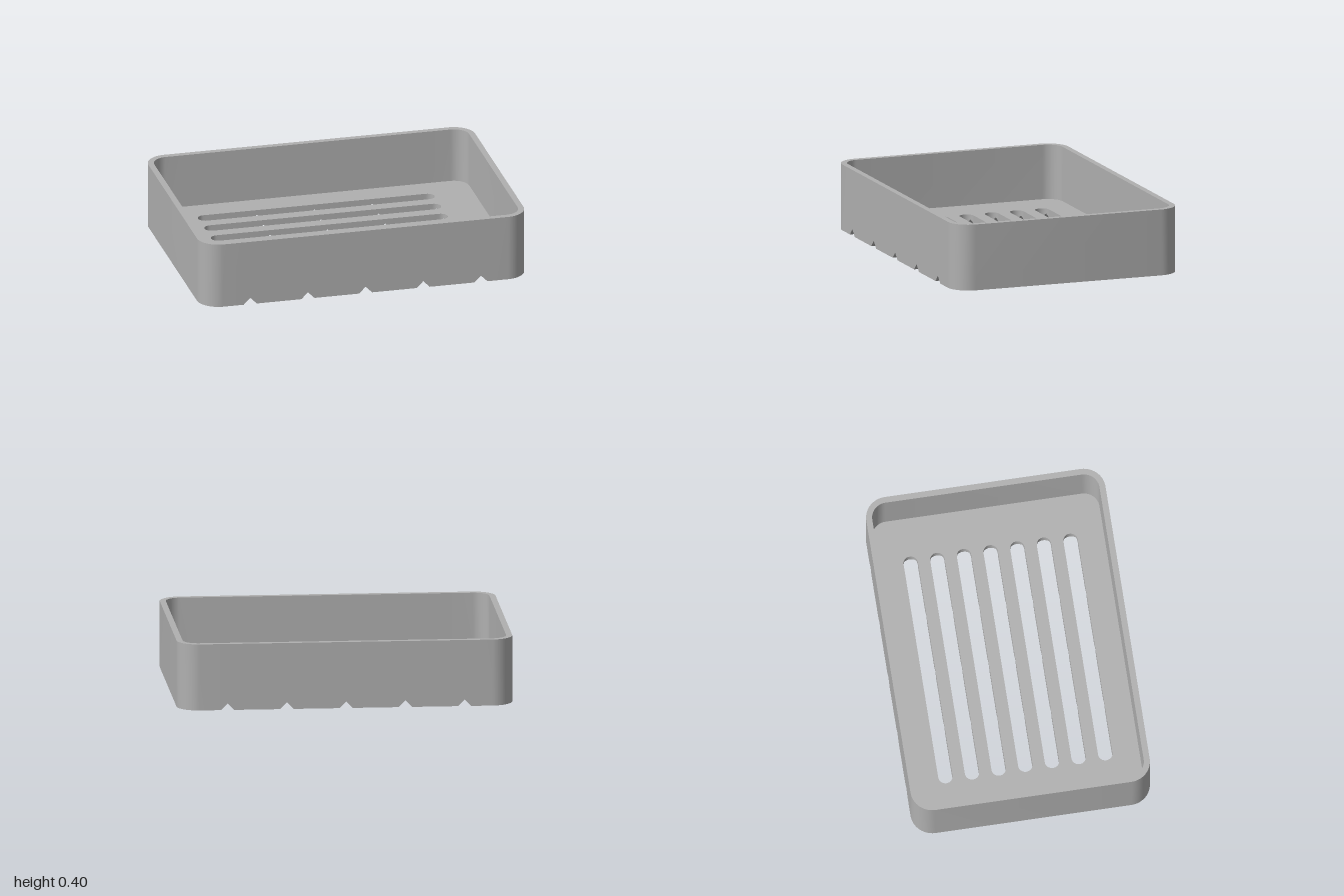
import * as THREE from 'three';
import { toCreasedNormals } from 'three/addons/utils/BufferGeometryUtils.js';

const HX = 1, HZ = 0.718, HEIGHT = 0.4, WALL = 0.036, RADIUS = 0.13, FLOOR = 0.07;
const SLOT_X = 0.724, SLOT_R = 0.043, SLOT_STEP = 0.16, SLOTS = 7;
const GROOVE = 0.04, GROOVE_STEP = 0.353;
const INNER_X = HX - WALL, INNER_R = RADIUS - WALL;

// Half extent in z, at x, of a rectangle with rounded corners
function halfExtent(x, hx, hz, r) {
  const d = Math.abs(x) - (hx - r);
  if (d <= 0) return hz;
  return hz - r + Math.sqrt(Math.max(0, r * r - d * d));
}
const outer = x => halfExtent(x, HX, HZ, RADIUS);
const inner = x => halfExtent(x, INNER_X, HZ - WALL, INNER_R);
const slot = x => (Math.abs(x) >= SLOT_X ? 0 : halfExtent(x, SLOT_X, SLOT_R, SLOT_R));

// Underside height: flat, with V-shaped drain grooves running front to back
function underside(x) {
  let y = 0;
  for (let i = -2; i <= 2; i++) y = Math.max(y, GROOVE - Math.abs(x - i * GROOVE_STEP));
  return y;
}

// All x stations where a curve or crease needs a cross-section
function stations() {
  const xs = [];
  const arc = (hx, r, n) => {
    for (let k = 0; k <= n; k++) {
      const x = hx - r + r * Math.sin((k / n) * Math.PI / 2);
      xs.push(x, -x);
    }
  };
  arc(HX, RADIUS, 12);
  arc(INNER_X, INNER_R, 12);
  arc(SLOT_X, SLOT_R, 8);
  for (let i = -2; i <= 2; i++)
    for (const s of [-1, 0, 1]) xs.push(i * GROOVE_STEP + s * GROOVE);
  xs.sort((a, b) => a - b);
  return xs.filter((x, i) => i === 0 || x - xs[i - 1] > 1e-4);
}

function dishGeometry() {
  const pos = [];
  const quad = (a, b, c, d, flip) => {
    for (const p of flip ? [a, d, c, a, c, b] : [a, b, c, a, c, d]) pos.push(...p);
  };
  // Level strip between two z edges, facing up or down
  const level = (x0, x1, back, front, y, down) => quad(
    [x0, y(x0), front(x0)], [x1, y(x1), front(x1)],
    [x1, y(x1), back(x1)], [x0, y(x0), back(x0)], down);
  // Upright strip following a z edge, facing front or back
  const upright = (x0, x1, z, low, high, back) => quad(
    [x0, low(x0), z(x0)], [x1, low(x1), z(x1)],
    [x1, high(x1), z(x1)], [x0, high(x0), z(x0)], back);
  // Flat end at x, facing +x or -x
  const end = (x, hz, y0, y1, left) => quad(
    [x, y0, hz], [x, y0, -hz], [x, y1, -hz], [x, y1, hz], !left);

  const neg = f => x => -f(x);
  const floorY = () => FLOOR, rimY = () => HEIGHT;
  const centre = i => (i - (SLOTS - 1) / 2) * SLOT_STEP;
  const xs = stations();

  for (let i = 0; i + 1 < xs.length; i++) {
    const x0 = xs[i], x1 = xs[i + 1], mid = Math.abs((x0 + x1) / 2);
    const inside = mid < INNER_X, slotted = mid < SLOT_X;

    // Outer wall
    upright(x0, x1, outer, underside, rimY, false);
    upright(x0, x1, neg(outer), underside, rimY, true);

    // Rim and inner wall
    if (inside) {
      level(x0, x1, inner, outer, rimY, false);
      level(x0, x1, neg(outer), neg(inner), rimY, false);
      upright(x0, x1, inner, floorY, rimY, true);
      upright(x0, x1, neg(inner), floorY, rimY, false);
    } else {
      level(x0, x1, neg(outer), outer, rimY, false);
    }

    // Floor bars between the slots, with the slot side walls
    const bars = slotted ? SLOTS + 1 : 1;
    for (let b = 0; b < bars; b++) {
      const first = b === 0, last = b === bars - 1;
      const back = x => centre(b - 1) + slot(x);
      const front = x => centre(b) - slot(x);
      level(x0, x1, first ? neg(outer) : back, last ? outer : front, underside, true);
      if (inside) level(x0, x1, first ? neg(inner) : back, last ? inner : front, floorY, false);
      if (!first) upright(x0, x1, back, underside, floorY, true);
      if (!last) upright(x0, x1, front, underside, floorY, false);
    }
  }

  // End walls, outside and inside
  for (const s of [1, -1]) {
    end(s * HX, outer(HX), 0, HEIGHT, s > 0);
    end(s * INNER_X, inner(INNER_X), FLOOR, HEIGHT, s < 0);
  }

  const geo = new THREE.BufferGeometry();
  geo.setAttribute('position', new THREE.Float32BufferAttribute(pos, 3));
  // Enlarged while creasing so that close vertices stay distinct
  geo.scale(100, 100, 100);
  const creased = toCreasedNormals(geo, 0.5);
  creased.scale(0.01, 0.01, 0.01);
  return creased;
}

export function createModel() {
  const group = new THREE.Group();
  group.name = 'soapDish';
  const grey = new THREE.MeshStandardMaterial({ color: 0xb0b0b0 });
  grey.name = 'grey';
  const dish = new THREE.Mesh(dishGeometry(), grey);
  dish.name = 'slottedTray';
  group.add(dish);
  return group;
}
